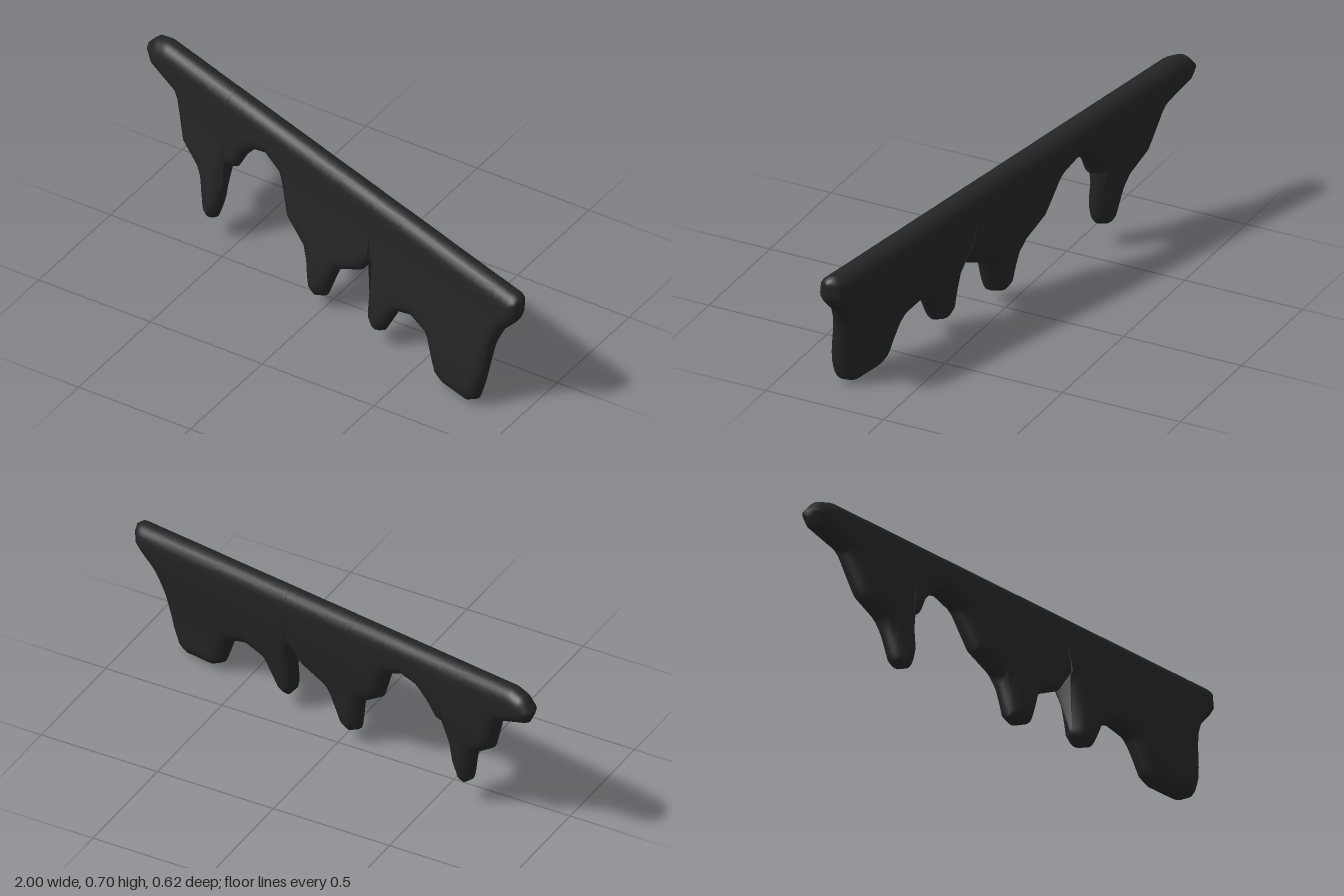
import * as THREE from 'three';
import { mergeVertices } from 'three/addons/utils/BufferGeometryUtils.js';

// Upper rim and dripping lower edge, left to right as [x, y]
const TOP = [[-1, 0.64], [-0.955, 0.69], [-0.895, 0.705], [0.975, 0.54], [1, 0.52]];
const DRIPS = [
  [-1, 0.64], [-0.97, 0.58], [-0.83, 0.52], [-0.775, 0.35], [-0.675, 0.27], [-0.645, 0.12],
  [-0.61, 0.09], [-0.575, 0.105], [-0.55, 0.18], [-0.535, 0.355], [-0.49, 0.365], [-0.455, 0.43],
  [-0.41, 0.48], [-0.345, 0.495], [-0.27, 0.455], [-0.215, 0.305], [-0.105, 0.22], [-0.08, 0.07],
  [-0.035, 0.043], [0.015, 0.065], [0.07, 0.21], [0.19, 0.265], [0.232, 0.32], [0.238, 0.1],
  [0.275, 0.053], [0.325, 0.07], [0.39, 0.19], [0.465, 0.21], [0.545, 0.18], [0.6, 0.04],
  [0.65, 0.01], [0.78, 0], [0.825, 0.025], [0.85, 0.1], [0.88, 0.28], [0.92, 0.365],
  [0.975, 0.42], [1, 0.455],
];
const OUTLINE = [...DRIPS, ...[...TOP].reverse()];

// Height of an edge at x
function heightAt(line, x) {
  let i = 1;
  while (i < line.length - 1 && line[i][0] < x) i++;
  const [x0, y0] = line[i - 1], [x1, y1] = line[i];
  return y0 + (y1 - y0) * (x - x0) / (x1 - x0);
}

// Shortest distance from a point to the outline
function edgeDistance(x, y) {
  let best = Infinity;
  for (let i = 1; i < OUTLINE.length; i++) {
    const [ax, ay] = OUTLINE[i - 1], [bx, by] = OUTLINE[i];
    const dx = bx - ax, dy = by - ay, len = dx * dx + dy * dy;
    const t = len ? THREE.MathUtils.clamp(((x - ax) * dx + (y - ay) * dy) / len, 0, 1) : 0;
    best = Math.min(best, Math.hypot(x - ax - t * dx, y - ay - t * dy));
  }
  return best;
}

// Sheet rounded towards its outline, set diagonally and leaning forward at the drips
function drippingSheet() {
  const ROWS = 22, RING = ROWS * 2, ROUND = 0.06, HALF = 0.054;
  const xs = DRIPS.map((p) => p[0]);
  for (let i = 1; i < 160; i++) xs.push(-1 + i / 80);
  const columns = [...new Set(xs.map((x) => +x.toFixed(4)))].sort((a, b) => a - b);

  const positions = [], index = [];
  columns.forEach((x, c) => {
    const top = heightAt(TOP, x), bottom = heightAt(DRIPS, x);
    for (let j = 0; j < RING; j++) {
      // Down the front, then up the back
      const front = j <= ROWS;
      const row = front ? j : RING - j;
      const s = (1 - Math.cos(Math.PI * row / ROWS)) / 2;
      const y = top + (bottom - top) * s;
      const d = Math.min(edgeDistance(x, y) / ROUND, 1);
      const half = HALF * Math.sqrt(Math.max(0, 1 - (1 - d) ** 2));
      const lean = 0.06 - 0.075 * THREE.MathUtils.smoothstep(y / (0.625 - 0.088 * x), 0.05, 1);
      positions.push(x, y, 0.255 * x + lean + (front ? half : -half));
      if (c + 1 < columns.length) {
        const a = c * RING + j, b = c * RING + (j + 1) % RING;
        index.push(a, b, a + RING, b, b + RING, a + RING);
      }
    }
  });

  let geometry = new THREE.BufferGeometry();
  geometry.setAttribute('position', new THREE.Float32BufferAttribute(positions, 3));
  geometry.setIndex(index);
  geometry = mergeVertices(geometry, 1e-5);
  geometry.computeVertexNormals();
  return geometry;
}

export function createModel() {
  const group = new THREE.Group();
  group.name = 'drippingSlime';
  const charcoal = new THREE.MeshStandardMaterial({ color: 0x242424 });
  charcoal.name = 'charcoal';
  const sheet = new THREE.Mesh(drippingSheet(), charcoal);
  sheet.name = 'dripSheet';
  group.add(sheet);
  return group;
}
